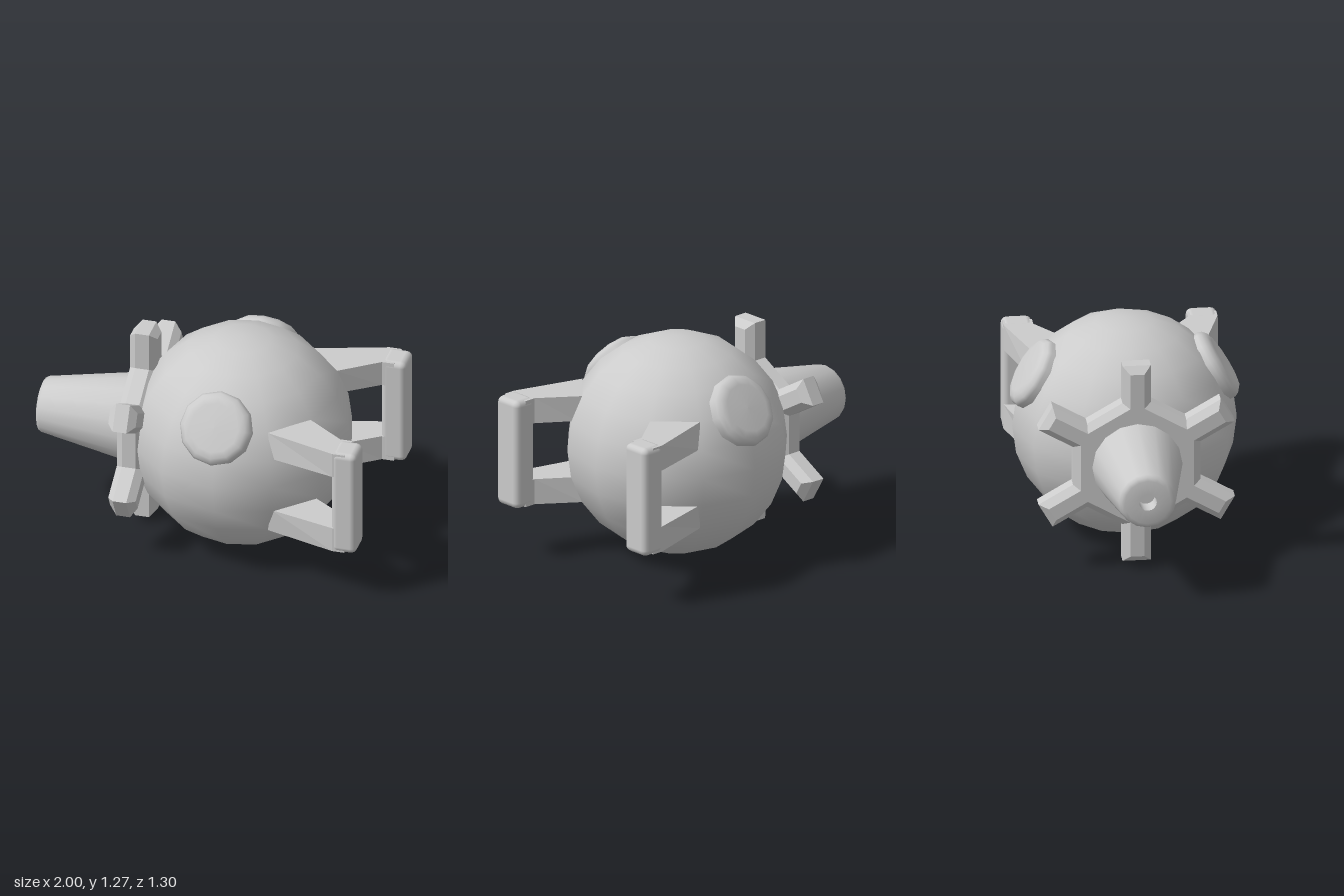
import * as THREE from 'three';
import { toCreasedNormals } from 'three/addons/utils/BufferGeometryUtils.js';
import { RoundedBoxGeometry } from 'three/addons/geometries/RoundedBoxGeometry.js';

const material = new THREE.MeshStandardMaterial({ color: 0xcccccc });
const BODY_X = 0.17, CENTRE_Y = 0.636;

function add(parent, geometry, name) {
  const mesh = new THREE.Mesh(geometry, material);
  mesh.name = name;
  parent.add(mesh);
  return mesh;
}

const points = (list) => list.map(([x, y]) => new THREE.Vector2(x, y));

// Six-toothed cog with chamfered edges, turned to face along x
function cogGeometry() {
  const half = 0.08, tip = 0.595, valley = 0.36;
  const corner = (valley - half * 0.5) / Math.cos(Math.PI / 6); // tooth side meets valley
  const outline = [];
  for (let i = 0; i < 6; i++) {
    const a = Math.PI / 2 + i * Math.PI / 3;
    const c = Math.cos(a), s = Math.sin(a);
    for (const [r, w] of [[corner, -half], [tip, -half], [tip, half], [corner, half]])
      outline.push(new THREE.Vector2(r * c - w * s, r * s + w * c));
  }
  const g = new THREE.ExtrudeGeometry(new THREE.Shape(outline), {
    depth: 0.08, bevelThickness: 0.04, bevelSize: 0.04, bevelOffset: -0.04, bevelSegments: 1,
  });
  return g.translate(0, 0, -0.04).rotateY(Math.PI / 2).translate(-0.395, 0, 0);
}

// Arm running from the grip bar to the body; its inner edge is cut back (side = 1 top, -1 bottom)
function armGeometry(side) {
  const shape = new THREE.Shape(points([
    [0.93, -0.605], [0.86, -0.605], [0.45, -0.48], [0.64, -0.275], [0.86, -0.437], [0.93, -0.437],
  ]));
  const g = new THREE.ExtrudeGeometry(shape, { depth: 0.15, bevelEnabled: false });
  g.rotateX(-Math.PI / 2).translate(0, side * 0.243 - 0.075, 0);
  const p = g.attributes.position;
  for (let i = 0; i < p.count; i++) {
    if (p.getX(i) < 0.7 && Math.abs(p.getY(i)) < 0.24) {
      p.setX(i, p.getX(i) + 0.025);
      p.setZ(i, p.getZ(i) + 0.025);
    }
  }
  g.computeVertexNormals();
  return g;
}

export function createModel() {
  const model = new THREE.Group();
  const centre = new THREE.Group();
  centre.name = 'assembly';
  centre.position.y = CENTRE_Y;
  model.add(centre);

  // Round body
  add(centre, new THREE.SphereGeometry(0.635, 12, 12), 'body').position.x = BODY_X;

  // Cog
  add(centre, cogGeometry(), 'cog');

  // Tapered nozzle with a small hole in its end
  const nozzle = new THREE.LatheGeometry(points([
    [0.255, 0.42], [0.255, 0.475], [0.162, 0.975], [0.15, 0.993], [0.13, 1],
    [0.05, 1], [0.05, 0.9], [0, 0.9],
  ]), 16);
  nozzle.rotateZ(Math.PI / 2);
  add(centre, toCreasedNormals(nozzle, 0.7), 'nozzle');

  // Side pads and handles, one set at the front and one at the back
  for (const front of [true, false]) {
    const label = front ? 'front' : 'back';

    const padGroup = new THREE.Group();
    padGroup.position.x = BODY_X - 0.01;
    padGroup.rotation.y = front ? 0 : Math.PI;
    centre.add(padGroup);
    const pad = new THREE.LatheGeometry(points([
      [0.205, 0.54], [0.211, 0.612], [0.2, 0.635], [0.177, 0.655], [0.14, 0.664], [0, 0.668],
    ]), 12);
    add(padGroup, pad, label + 'Pad').rotation.x = THREE.MathUtils.degToRad(58);

    const handle = new THREE.Group();
    handle.name = label + 'Handle';
    handle.rotation.x = front ? 0 : Math.PI;
    centre.add(handle);
    const bar = new RoundedBoxGeometry(0.145, 0.645, 0.175, 2, 0.035);
    add(handle, bar, 'gripBar').position.set(0.925, 0, 0.523);
    add(handle, armGeometry(1), 'upperArm');
    add(handle, armGeometry(-1), 'lowerArm');
  }
  return model;
}
